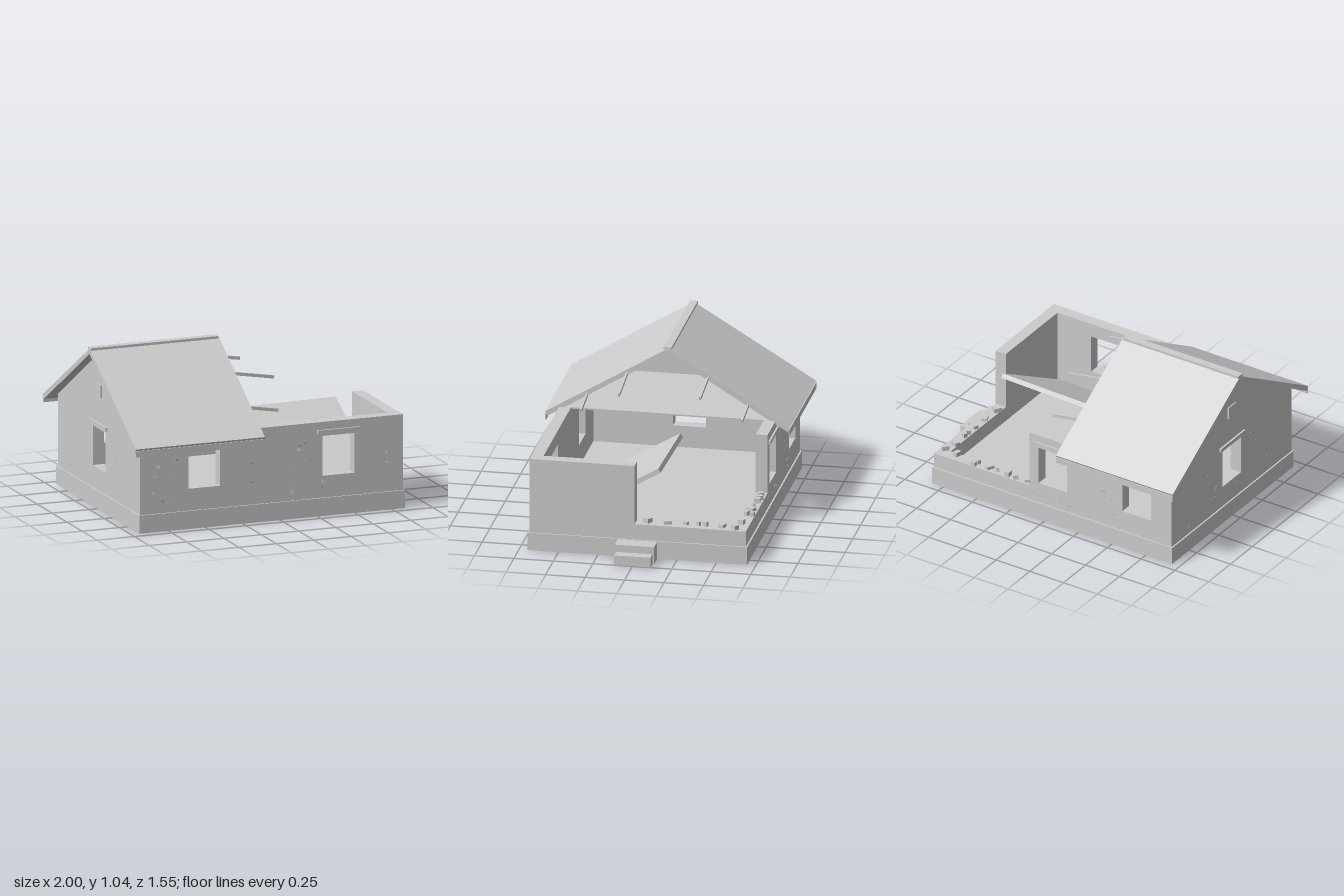
import * as THREE from 'three';

const plaster = new THREE.MeshStandardMaterial({ color: 0xcccccc });
plaster.name = 'pale grey';

const WALL = 0.075, BASE = 0.115, EAVE = 0.6;
const X0 = -0.935, X1 = 0.825, Z1 = 0.685;

function createRandom(seed) {
  return () => (seed = (seed * 16807) % 2147483647) / 2147483647;
}

function add(parent, name, geometry, x = 0, y = 0, z = 0) {
  const mesh = new THREE.Mesh(geometry, plaster);
  mesh.name = name;
  mesh.position.set(x, y, z);
  parent.add(mesh);
  return mesh;
}

// Box given by its minimum and maximum corners
function block(parent, name, x0, x1, y0, y1, z0, z1) {
  return add(parent, name, new THREE.BoxGeometry(x1 - x0, y1 - y0, z1 - z0),
    (x0 + x1) / 2, (y0 + y1) / 2, (z0 + z1) / 2);
}

// Outline with rectangular openings [x0, x1, y0, y1], extruded
function panel(points, openings, depth) {
  const shape = new THREE.Shape(points.map(p => new THREE.Vector2(...p)));
  for (const [a, b, c, d] of openings) {
    shape.holes.push(new THREE.Path([[a, c], [a, d], [b, d], [b, c]].map(p => new THREE.Vector2(...p))));
  }
  return new THREE.ExtrudeGeometry(shape, { depth, bevelEnabled: false });
}

// Panel drawn in z and y, extruded from xMax towards -x
function sidePanel(parent, name, points, openings, xMax, depth) {
  const mesh = add(parent, name, panel(points, openings, depth), xMax);
  mesh.rotation.y = -Math.PI / 2;
  return mesh;
}

export function createModel() {
  const house = new THREE.Group();
  house.name = 'ruinedHouse';
  const random = createRandom(4711);

  // Hollow foundation, open underneath
  block(house, 'floor', -0.945, 0.835, 0.107, BASE, -0.695, 0.695);
  for (const s of [-1, 1]) {
    block(house, 'foundationLongSide', -0.945, 0.835, 0, 0.107, s * 0.69 - 0.005, s * 0.69 + 0.005);
  }
  block(house, 'foundationEnd', -0.945, -0.935, 0, 0.107, -0.685, 0.685);
  block(house, 'foundationEnd', 0.825, 0.835, 0, 0.107, -0.685, 0.685);

  // Entrance steps
  block(house, 'upperStep', 0.835, 0.935, 0, 0.112, -0.125, 0.125);
  block(house, 'lowerStep', 0.935, 1, 0, 0.065, -0.115, 0.115);

  // Walls with window openings; the back right corner is broken down
  const frontWindows = [[-0.61, -0.4, 0.255, 0.51], [0.285, 0.5, 0.255, 0.51]];
  const backWindows = [[-0.78, -0.57, 0.255, 0.51], [-0.16, 0.05, 0.255, 0.51]];
  const gableWindow = [-0.105, 0.105, 0.255, 0.51];
  add(house, 'frontWall', panel([[X0, BASE], [X1, BASE], [X1, EAVE], [X0, EAVE]], frontWindows, WALL), 0, 0, Z1 - WALL);
  add(house, 'backWall', panel([[X0, BASE], [X1, BASE], [X1, 0.215], [0.12, 0.215], [0.12, EAVE], [X0, EAVE]],
    backWindows, WALL), 0, 0, -Z1);
  sidePanel(house, 'rightWall', [[-0.61, BASE], [0.61, BASE], [0.61, EAVE], [0.02, EAVE], [0.02, 0.215], [-0.61, 0.215]],
    [], X1, WALL);
  sidePanel(house, 'gableWall', [[-0.61, BASE], [0.61, BASE], [0.61, EAVE], [0.65, EAVE], [0, 0.997], [-0.65, EAVE], [-0.61, EAVE]],
    [gableWindow], X0 + WALL, WALL);
  block(house, 'gableVent', X0 - 0.008, X0, 0.72, 0.8, -0.045, 0.045);
  block(house, 'atticFloor', X0 + WALL, -0.14, 0.59, EAVE, -0.61, 0.61);

  // Lintels over the windows
  for (const [a, b] of frontWindows) block(house, 'lintel', a - 0.035, b + 0.035, 0.527, 0.55, Z1, Z1 + 0.012);
  for (const [a, b] of backWindows) block(house, 'lintel', a - 0.035, b + 0.035, 0.527, 0.55, -Z1 - 0.012, -Z1);
  block(house, 'lintel', X0 - 0.012, X0, 0.527, 0.55, -0.14, 0.14);

  // Remaining half of the roof
  sidePanel(house, 'roof', [[0, 1.03], [-0.775, 0.5625], [-0.76, 0.533], [0, 0.997], [0.76, 0.533], [0.775, 0.5625]],
    [], -0.135, 0.865);
  block(house, 'ridgeCap', -1, -0.145, 1.022, 1.038, -0.025, 0.025);
  for (const s of [-1, 1]) {
    block(house, 'gutter', -1, -0.135, 0.51, 0.55, s * 0.771 - 0.004, s * 0.771 + 0.004);
  }

  // Broken rafters sticking out of the roof: z, starting height, end x
  for (const [z, y, end] of [[-0.51, 0.69, 0.06], [-0.255, 0.85, 0.11], [0.255, 0.85, 0.135], [0.51, 0.69, 0.06]]) {
    const length = end + 0.18;
    const rafter = add(house, 'brokenRafter', new THREE.BoxGeometry(length, 0.02, 0.012),
      end - length / 2, y - 0.17 * (length / 2 - 0.045), z);
    rafter.rotation.z = -0.17;
  }

  // Fallen roof slab leaning inside, slightly wider at its foot
  const slabGeometry = new THREE.BoxGeometry(0.7, 0.03, 0.79);
  const corners = slabGeometry.attributes.position;
  for (let i = 0; i < corners.count; i++) {
    corners.setX(i, corners.getX(i) * (1 + 0.055 * corners.getZ(i)));
  }
  slabGeometry.computeVertexNormals();
  const slab = add(house, 'fallenRoofSlab', slabGeometry, 0.35, 0.325, 0.225);
  slab.rotation.set(0.53, 0, 0.02);

  // Rubble along the broken wall tops: x, z, size
  const rubble = [
    [0.16, -0.65, 0.04], [0.24, -0.655, 0.042], [0.295, -0.655, 0.04], [0.375, -0.65, 0.02], [0.44, -0.645, 0.05],
    [0.54, -0.67, 0.032], [0.53, -0.635, 0.03], [0.69, -0.63, 0.04], [0.79, -0.61, 0.042], [0.77, -0.525, 0.048],
    [0.77, -0.42, 0.028], [0.77, -0.375, 0.026], [0.77, -0.295, 0.03], [0.775, -0.18, 0.046], [0.77, -0.05, 0.05],
  ];
  for (const [x, z, size] of rubble) {
    const height = 0.018 + random() * 0.014;
    const stone = add(house, 'rubble', new THREE.BoxGeometry(size, height, size * 0.75), x, 0.215 + height / 2, z);
    stone.rotation.y = random() * Math.PI;
  }

  // Small tilted plaster chips, kept clear of the openings
  const chipGeometry = new THREE.CylinderGeometry(1, 1, 0.2, 7).rotateX(Math.PI / 2);
  function chips(count, min, max, openings, place) {
    for (let i = 0; i < count; i++) {
      const u = min + random() * (max - min), v = 0.14 + random() * 0.38;
      const size = 0.008 + random() * 0.01;
      const tilt = random() * 0.5 - 0.25, turn = random() * 6;
      if (openings.some(([a, b]) => u > a - 0.05 && u < b + 0.05 && v > 0.22)) continue;
      const chip = add(house, 'plasterChip', chipGeometry);
      chip.scale.set(size, size * 0.7, 0.012);
      place(chip, u, v);
      chip.rotation.x += tilt;
      chip.rotation.z = turn;
    }
  }
  chips(34, X0 + 0.04, X1 - 0.04, frontWindows, (c, u, v) => c.position.set(u, v, Z1));
  chips(24, X0 + 0.04, 0.09, backWindows, (c, u, v) => c.position.set(u, v, -Z1));
  chips(18, 0.06, 0.64, [], (c, u, v) => { c.position.set(X1, v, u); c.rotation.y = Math.PI / 2; });
  chips(26, -0.64, 0.64, [gableWindow], (c, u, v) => { c.position.set(X0, v, u); c.rotation.y = Math.PI / 2; });

  return house;
}
